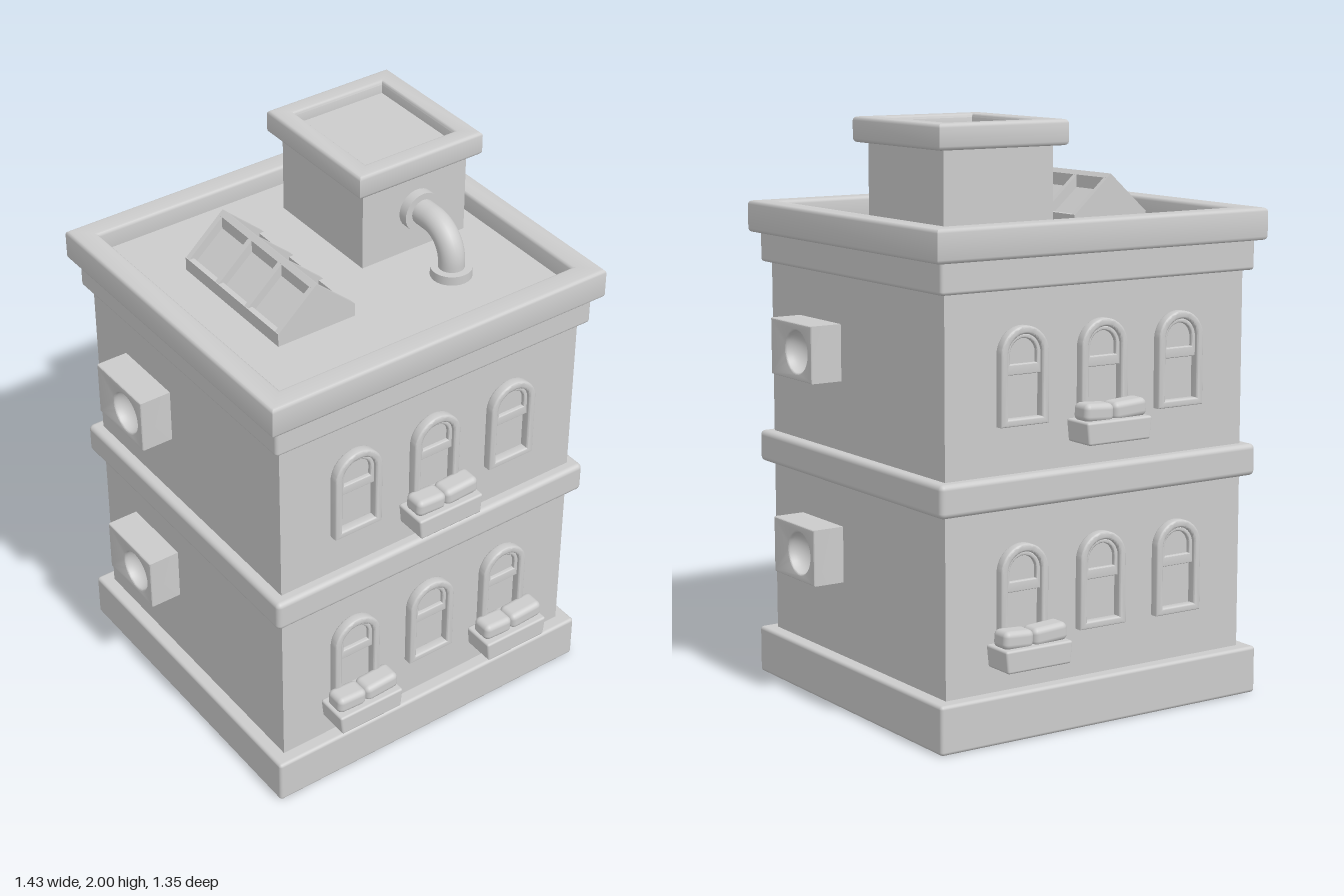
import * as THREE from 'three';
import { RoundedBoxGeometry } from 'three/addons/geometries/RoundedBoxGeometry.js';
import { toCreasedNormals } from 'three/addons/utils/BufferGeometryUtils.js';

const mat = new THREE.MeshStandardMaterial({ color: 0xcccccc });
const matDouble = new THREE.MeshStandardMaterial({ color: 0xcccccc, side: THREE.DoubleSide });

function add(parent, name, geo, x = 0, y = 0, z = 0, material = mat) {
  const mesh = new THREE.Mesh(geo, material);
  mesh.name = name;
  mesh.position.set(x, y, z);
  parent.add(mesh);
  return mesh;
}

const rounded = (w, h, d, r) => new RoundedBoxGeometry(w, h, d, 3, r);

// Extrusion with a soft bevel that keeps the drawn outline
function extrude(shape, depth, bevel = 0) {
  const geo = new THREE.ExtrudeGeometry(shape, {
    depth: depth - 2 * bevel, bevelEnabled: bevel > 0, bevelSize: bevel,
    bevelThickness: bevel, bevelOffset: -bevel, bevelSegments: 3, curveSegments: 20,
  });
  geo.translate(0, 0, bevel);
  return toCreasedNormals(geo, 0.6);
}

function rect(w, d, Type = THREE.Shape) {
  const s = new Type();
  s.moveTo(-w / 2, -d / 2);
  s.lineTo(w / 2, -d / 2);
  s.lineTo(w / 2, d / 2);
  s.lineTo(-w / 2, d / 2);
  s.closePath();
  return s;
}

// Round-headed outline standing on y = bottom
function arch(r, bottom, spring, Type = THREE.Shape) {
  const s = new Type();
  s.moveTo(-r, bottom);
  s.lineTo(r, bottom);
  s.lineTo(r, spring);
  s.absarc(0, spring, r, 0, Math.PI, false);
  s.closePath();
  return s;
}

// Horizontal rectangular rim, lying on y = 0
function rim(w, d, innerW, innerD, h) {
  const s = rect(w, d);
  s.holes.push(rect(innerW, innerD, THREE.Path));
  return extrude(s, h, 0.013).rotateX(-Math.PI / 2);
}

function makeWindow() {
  const g = new THREE.Group();
  g.name = 'window';
  const frame = arch(0.0925, 0, 0.23);
  frame.holes.push(arch(0.066, 0.025, 0.23, THREE.Path));
  add(g, 'windowFrame', extrude(frame, 0.037, 0.007));
  add(g, 'lowerPane', new THREE.ShapeGeometry(arch(0.068, 0.02, 0.23)), 0, 0, 0.003);
  // upper sash sits in front of the lower pane
  const sash = arch(0.067, 0.165, 0.23);
  sash.holes.push(arch(0.052, 0.2, 0.23, THREE.Path));
  add(g, 'upperSash', extrude(sash, 0.024, 0.004));
  add(g, 'upperPane', new THREE.ShapeGeometry(arch(0.054, 0.195, 0.23)), 0, 0, 0.01);
  return g;
}

function makePlanter() {
  const g = new THREE.Group();
  g.name = 'planter';
  const box = rounded(0.26, 0.076, 0.12, 0.008);
  const p = box.attributes.position;
  for (let i = 0; i < p.count; i++) if (p.getY(i) < 0) p.setX(i, p.getX(i) * 0.95);
  add(g, 'planterBox', box, 0, -0.037, 0.06);
  // two clipped plants
  add(g, 'plant', rounded(0.115, 0.062, 0.08, 0.02), -0.063, 0.024, 0.06).rotation.z = -0.06;
  add(g, 'plant', rounded(0.135, 0.062, 0.08, 0.02), 0.06, 0.025, 0.06).rotation.z = 0.06;
  return g;
}

// One facade: two storeys of three windows, planters where listed
function makeFacade(name, planters) {
  const g = new THREE.Group();
  g.name = name;
  [0.33, 1.04].forEach((y, floor) => {
    for (const column of [-1, 0, 1]) {
      const x = column * 0.315;
      const win = makeWindow();
      win.position.set(x, y, 0.555);
      g.add(win);
      if (planters[floor].includes(column)) {
        const planter = makePlanter();
        planter.position.set(x, y, 0.555);
        g.add(planter);
      }
    }
  });
  return g;
}

// Wall unit facing +z with a round hollow off its centre
function makeAirUnit() {
  const g = new THREE.Group();
  g.name = 'airUnit';
  const front = rect(0.275, 0.194);
  const hole = new THREE.Path();
  hole.absarc(0.0375, 0, 0.073, 0, Math.PI * 2, true);
  front.holes.push(hole);
  add(g, 'airUnitCase', extrude(front, 0.125, 0.005), 0, 0, -0.01);
  const profile = [];
  for (let i = 0; i <= 10; i++) {
    const a = (i / 10) * Math.PI / 2;
    profile.push(new THREE.Vector2(0.074 * Math.sin(a), -0.06 * Math.cos(a)));
  }
  const bowl = new THREE.LatheGeometry(profile, 32).rotateX(Math.PI / 2);
  add(g, 'fanHollow', bowl, 0.0375, 0, 0.11, matDouble);
  return g;
}

function makeSkylight() {
  const g = new THREE.Group();
  g.name = 'skylight';
  const gable = (half, eave, peak) => new THREE.Shape([
    [-half, 0], [half, 0], [half, eave], [0, peak], [-half, eave],
  ].map(([x, y]) => new THREE.Vector2(x, y)));
  // sunken glass, then gable ribs, ridge and eave bars
  add(g, 'skylightGlass', extrude(gable(0.135, 0.02, 0.137), 0.52), 0, 0, -0.26);
  [-0.27, -0.095, 0.075, 0.25].forEach((z) =>
    add(g, 'skylightRib', extrude(gable(0.15, 0.046, 0.18), 0.02), 0, 0, z));
  add(g, 'skylightRidge', extrude(gable(0.016, 0.052, 0.066), 0.54), 0, 0.114, -0.27);
  for (const s of [-1, 1]) add(g, 'skylightEave', new THREE.BoxGeometry(0.02, 0.048, 0.54), s * 0.14, 0.024, 0);
  return g;
}

function makePipe() {
  const g = new THREE.Group();
  g.name = 'ventPipe';
  const path = new THREE.CurvePath();
  const v = (y, z) => new THREE.Vector3(0, y, z);
  path.add(new THREE.LineCurve3(v(1.61, 0.255), v(1.67, 0.255)));
  path.add(new THREE.CubicBezierCurve3(v(1.67, 0.255), v(1.732, 0.255), v(1.78, 0.207), v(1.78, 0.145)));
  path.add(new THREE.LineCurve3(v(1.78, 0.145), v(1.78, 0.05)));
  add(g, 'pipe', new THREE.TubeGeometry(path, 40, 0.045, 24), 0, 0, 0, matDouble);
  const flange = new THREE.CylinderGeometry(0.071, 0.071, 0.035, 32);
  add(g, 'roofFlange', flange, 0, 1.635, 0.255);
  add(g, 'wallFlange', flange, 0, 1.777, 0.078).rotation.x = Math.PI / 2;
  return g;
}

export function createModel() {
  const model = new THREE.Group();
  model.name = 'building';

  // walls and horizontal bands
  add(model, 'walls', new THREE.BoxGeometry(1.2, 1.4, 1.11), 0, 0.8, 0);
  add(model, 'plinth', rounded(1.295, 0.165, 1.205, 0.012), 0, 0.0825, 0);
  add(model, 'floorBand', rounded(1.28, 0.11, 1.19, 0.018), 0, 0.825, 0);
  add(model, 'cornice', rounded(1.26, 0.12, 1.17, 0.012), 0, 1.538, 0);
  add(model, 'roofDeck', new THREE.BoxGeometry(1.22, 0.07, 1.13), 0, 1.585, 0);
  add(model, 'parapet', rim(1.32, 1.225, 1.155, 1.062, 0.11), 0, 1.58, 0);

  // front and back facades
  model.add(makeFacade('frontFacade', [[-1, 1], [0]]));
  const back = makeFacade('backFacade', [[-1], [0]]);
  back.rotation.y = Math.PI;
  model.add(back);

  // air units, turned half round on the opposite side
  for (const s of [-1, 1]) {
    for (const y of [0.522, 1.215]) {
      const unit = makeAirUnit();
      unit.position.set(s * 0.6, y, s * 0.2225);
      unit.rotation.y = s * Math.PI / 2;
      model.add(unit);
    }
  }

  // rooftop
  const skylight = makeSkylight();
  skylight.position.set(-0.252, 1.62, -0.003);
  model.add(skylight);
  add(model, 'roofHouse', new THREE.BoxGeometry(0.424, 0.345, 0.46), 0.289, 1.7825, -0.17);
  add(model, 'roofHouseCap', rim(0.5, 0.532, 0.36, 0.4, 0.085), 0.289, 1.915, -0.17);
  const pipe = makePipe();
  pipe.position.x = 0.298;
  model.add(pipe);
  return model;
}
